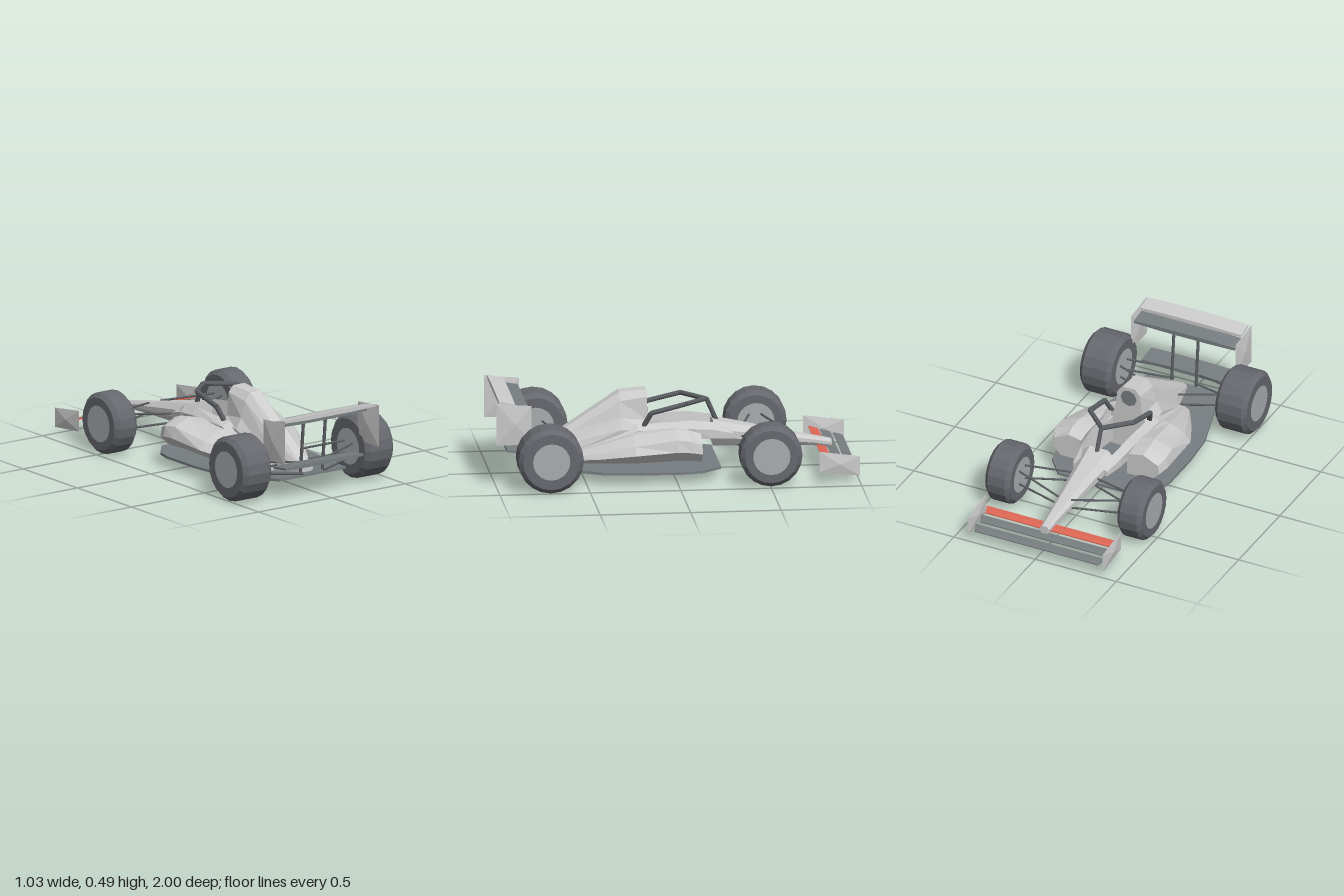
import * as THREE from 'three';

const mat = (color) => new THREE.MeshStandardMaterial({ color, flatShading: true, side: THREE.DoubleSide });
const BODY = mat(0xcccccc), DARK = mat(0x777d80), TYRE = mat(0x66686e), HUB = mat(0xa8acae);
const TUBE = mat(0x5a5d61), RED = mat(0xdd6655);

export function createModel() {
  const car = new THREE.Group();
  const add = (name, geometry, material) => {
    const mesh = new THREE.Mesh(geometry, material);
    mesh.name = name;
    car.add(mesh);
    return mesh;
  };

  const fromTriangles = (points) => {
    const g = new THREE.BufferGeometry();
    g.setAttribute('position', new THREE.Float32BufferAttribute(points.flat(), 3));
    g.computeVertexNormals();
    return g;
  };

  // Loft: sections are [z, [[x, y], ...]] with loops counter-clockwise seen from +z, z rising
  const loft = (sections) => {
    const rings = sections.map(([z, loop]) => loop.map(([x, y]) => [x, y, z]));
    const tri = [], n = rings[0].length;
    for (let i = 0; i < rings.length - 1; i++) {
      for (let j = 0; j < n; j++) {
        const k = (j + 1) % n, a = rings[i], b = rings[i + 1];
        tri.push(a[j], a[k], b[k], a[j], b[k], b[j]);
      }
    }
    const first = rings[0], last = rings[rings.length - 1];
    for (let j = 1; j < n - 1; j++) {
      tri.push(first[0], first[j + 1], first[j], last[0], last[j], last[j + 1]);
    }
    return fromTriangles(tri);
  };
  // Completes a right-hand half loop (bottom to top) with its mirror image
  const sym = (half) => [...half, ...half.map(([x, y]) => [-x, y]).reverse()];
  const symLoft = (sections) => loft(sections.map(([z, half]) => [z, sym(half)]));
  const sideLoft = (sections, s) =>
    loft(sections.map(([z, loop]) => [z, s > 0 ? loop : loop.map(([x, y]) => [-x, y]).reverse()]));

  // Straight round bar between two points
  const bar = (name, a, b, r, material = TUBE) => {
    const p = new THREE.Vector3(...a), q = new THREE.Vector3(...b);
    const d = q.clone().sub(p);
    const mesh = add(name, new THREE.CylinderGeometry(r, r, d.length(), 8), material);
    mesh.position.copy(p).add(q).multiplyScalar(0.5);
    mesh.quaternion.setFromUnitVectors(new THREE.Vector3(0, 1, 0), d.normalize());
  };

  // Wing blade: stations of [z, halfWidth, y, thickness], bowed in the middle
  const blade = (name, stations, bow, material) =>
    add(name, symLoft(stations.map(([z, w, y, t]) => [z, [
      [w * 0.45, y - t / 2 - bow], [w, y - t / 2], [w, y + t / 2], [w * 0.45, y + t / 2 + bow],
    ]])), material);

  // End plate: outline of [z, y] with a slightly raised centre on both sides
  const endPlate = (name, x, outline, bulge) => {
    const n = outline.length, tri = [];
    const cz = outline.reduce((s, p) => s + p[0], 0) / n, cy = outline.reduce((s, p) => s + p[1], 0) / n;
    outline.forEach(([z, y], i) => {
      const [z2, y2] = outline[(i + 1) % n];
      tri.push([x + bulge, cy, cz], [x, y2, z2], [x, y, z]);
      tri.push([x - bulge, cy, cz], [x, y, z], [x, y2, z2]);
    });
    add(name, fromTriangles(tri), BODY);
  };

  // Floor, rising towards the back
  add('floor', symLoft([
    [-0.25, 0.24, 0.062], [-0.14, 0.33, 0.062], [-0.05, 0.352, 0.062], [0.2, 0.352, 0.063],
    [0.41, 0.335, 0.066], [0.6, 0.28, 0.078], [0.82, 0.225, 0.1],
  ].map(([z, w, y]) => [z, [[w, y - 0.007], [w, y + 0.007]]])), DARK);

  // Nose
  const noseSection = (z, w, bottom, top) => [z, [
    [w * 0.65, bottom], [w, bottom + (top - bottom) * 0.35], [w, bottom + (top - bottom) * 0.7], [w * 0.55, top],
  ]];
  add('nose', symLoft([
    noseSection(-0.885, 0.028, 0.105, 0.15), noseSection(-0.78, 0.036, 0.12, 0.172),
    noseSection(-0.65, 0.05, 0.13, 0.195), noseSection(-0.4, 0.075, 0.14, 0.25),
    noseSection(-0.225, 0.1, 0.145, 0.285),
  ]), BODY);

  // Engine cover with the tall air intake
  add('engineCover', symLoft([
    [0.14, [[0.11, 0.08], [0.12, 0.26], [0.08, 0.3], [0.07, 0.43], [0.04, 0.465]]],
    [0.29, [[0.12, 0.08], [0.13, 0.26], [0.095, 0.32], [0.07, 0.41], [0.035, 0.455]]],
    [0.55, [[0.09, 0.08], [0.1, 0.14], [0.085, 0.19], [0.06, 0.25], [0.03, 0.285]]],
    [0.77, [[0.025, 0.103], [0.04, 0.113], [0.042, 0.125], [0.035, 0.138], [0.02, 0.145]]],
  ]), BODY);
  const intake = add('airIntake', new THREE.CircleGeometry(0.05, 8), DARK);
  intake.position.set(0, 0.4, 0.138);
  intake.rotation.y = Math.PI;

  for (const s of [1, -1]) {
    // Side pod
    add('sidePod', sideLoft([
      [-0.14, [[0.13, 0.11], [0.28, 0.11], [0.33, 0.16], [0.32, 0.21], [0.23, 0.255], [0.13, 0.235]]],
      [-0.08, [[0.12, 0.11], [0.29, 0.115], [0.352, 0.175], [0.343, 0.235], [0.235, 0.275], [0.12, 0.25]]],
      [0.0, [[0.11, 0.11], [0.29, 0.118], [0.352, 0.18], [0.335, 0.245], [0.23, 0.283], [0.11, 0.26]]],
      [0.23, [[0.09, 0.095], [0.27, 0.105], [0.335, 0.16], [0.3, 0.205], [0.21, 0.25], [0.09, 0.25]]],
      [0.42, [[0.07, 0.085], [0.2, 0.093], [0.245, 0.125], [0.225, 0.155], [0.17, 0.185], [0.07, 0.18]]],
      [0.58, [[0.06, 0.08], [0.14, 0.083], [0.155, 0.1], [0.15, 0.115], [0.12, 0.13], [0.06, 0.13]]],
    ], s), BODY);

    // Cockpit side rail, running back into the engine cover
    add('cockpitRail', sideLoft([
      [-0.33, [[0.06, 0.185], [0.105, 0.19], [0.105, 0.22], [0.06, 0.235]]],
      [-0.22, [[0.085, 0.2], [0.135, 0.2], [0.135, 0.25], [0.1, 0.285]]],
      [-0.1, [[0.095, 0.2], [0.14, 0.2], [0.145, 0.26], [0.11, 0.3]]],
      [0.2, [[0.1, 0.2], [0.155, 0.2], [0.16, 0.26], [0.115, 0.287]]],
      [0.58, [[0.07, 0.09], [0.14, 0.09], [0.14, 0.115], [0.08, 0.135]]],
    ], s), BODY);

    // Halo side: front apex, bend, and rear leg
    const halo = [[0, 0.395, -0.19], [0.135, 0.4, -0.065], [0.14, 0.355, 0.125], [0.115, 0.275, 0.165]]
      .map(([x, y, z]) => [s * x, y, z]);
    for (let i = 0; i < 3; i++) bar('haloSide', halo[i], halo[i + 1], 0.014);

    // Wheels: [z, radius, inner x, outer x]
    for (const [name, z, r, inner, outer] of [
      ['frontWheel', -0.505, 0.172, 0.33, 0.483], ['rearWheel', 0.715, 0.181, 0.32, 0.513],
    ]) {
      const h = (outer - inner) / 2, c = 0.024, rim = 0.103;
      const profile = [[rim, -h], [r - c, -h], [r, -h + c], [r, h - c], [r - c, h], [rim, h]]
        .map(([x, y]) => new THREE.Vector2(x, y));
      const wheel = new THREE.Group();
      wheel.name = name;
      const tyre = new THREE.Mesh(new THREE.LatheGeometry(profile, 20), TYRE);
      tyre.name = 'tyre';
      const hub = new THREE.Mesh(new THREE.CylinderGeometry(rim, rim, 2 * h - 0.004, 20), HUB);
      hub.name = 'hub';
      wheel.add(tyre, hub);
      wheel.rotation.z = Math.PI / 2;
      wheel.position.set(s * (inner + outer) / 2, r + 0.003, z);
      car.add(wheel);
    }

    // Wishbones, upper and lower
    for (const [hubY, bodyY] of [[0.215, 0.195], [0.13, 0.145]]) {
      bar('frontWishbone', [s * 0.345, hubY, -0.53], [s * 0.04, bodyY, -0.64], 0.006);
      bar('frontWishbone', [s * 0.345, hubY, -0.47], [s * 0.06, bodyY, -0.38], 0.006);
    }
    for (const [hubY, bodyY] of [[0.21, 0.18], [0.14, 0.115]]) {
      bar('rearWishbone', [s * 0.335, hubY, 0.68], [s * 0.05, bodyY, 0.59], 0.006);
      bar('rearWishbone', [s * 0.335, hubY, 0.75], [s * 0.07, bodyY, 0.83], 0.006);
    }

    // Rear wing strut and end plates
    bar('rearWingStrut', [s * 0.075, 0.115, 0.81], [s * 0.075, 0.43, 0.84], 0.009);
    endPlate('rearEndPlate', s * 0.322,
      [[0.805, 0.46], [0.9, 0.467], [1, 0.48], [1, 0.24], [0.88, 0.24], [0.805, 0.26]], 0.013);
    endPlate('frontEndPlate', s * 0.415, [[-0.775, 0.18], [-1, 0.15], [-1, 0.04], [-0.775, 0.062]], 0.011);
  }

  // Halo front post
  bar('haloPost', [0, 0.27, -0.25], [0, 0.397, -0.195], 0.013);

  // Front wing: three blades, the rearmost coloured
  [[-0.99, 0.07, DARK], [-0.92, 0.09, DARK], [-0.853, 0.11, RED]].forEach(([z, y, m]) =>
    blade('frontWingBlade', [[z, 0.38, y, 0.006], [z + 0.025, 0.388, y + 0.006, 0.01], [z + 0.053, 0.398, y + 0.012, 0.004]], 0, m));

  // Rear wing: main blade, upper flap and low beam
  blade('rearWingMain', [[0.815, 0.31, 0.42, 0.014], [0.905, 0.31, 0.435, 0.014]], 0.005, DARK);
  blade('rearWingFlap', [[0.895, 0.31, 0.46, 0.012], [0.985, 0.31, 0.478, 0.014]], 0.005, BODY);
  blade('rearBeamWing', [[0.82, 0.265, 0.178, 0.012], [0.935, 0.265, 0.192, 0.012]], 0.004, DARK);

  return car;
}
